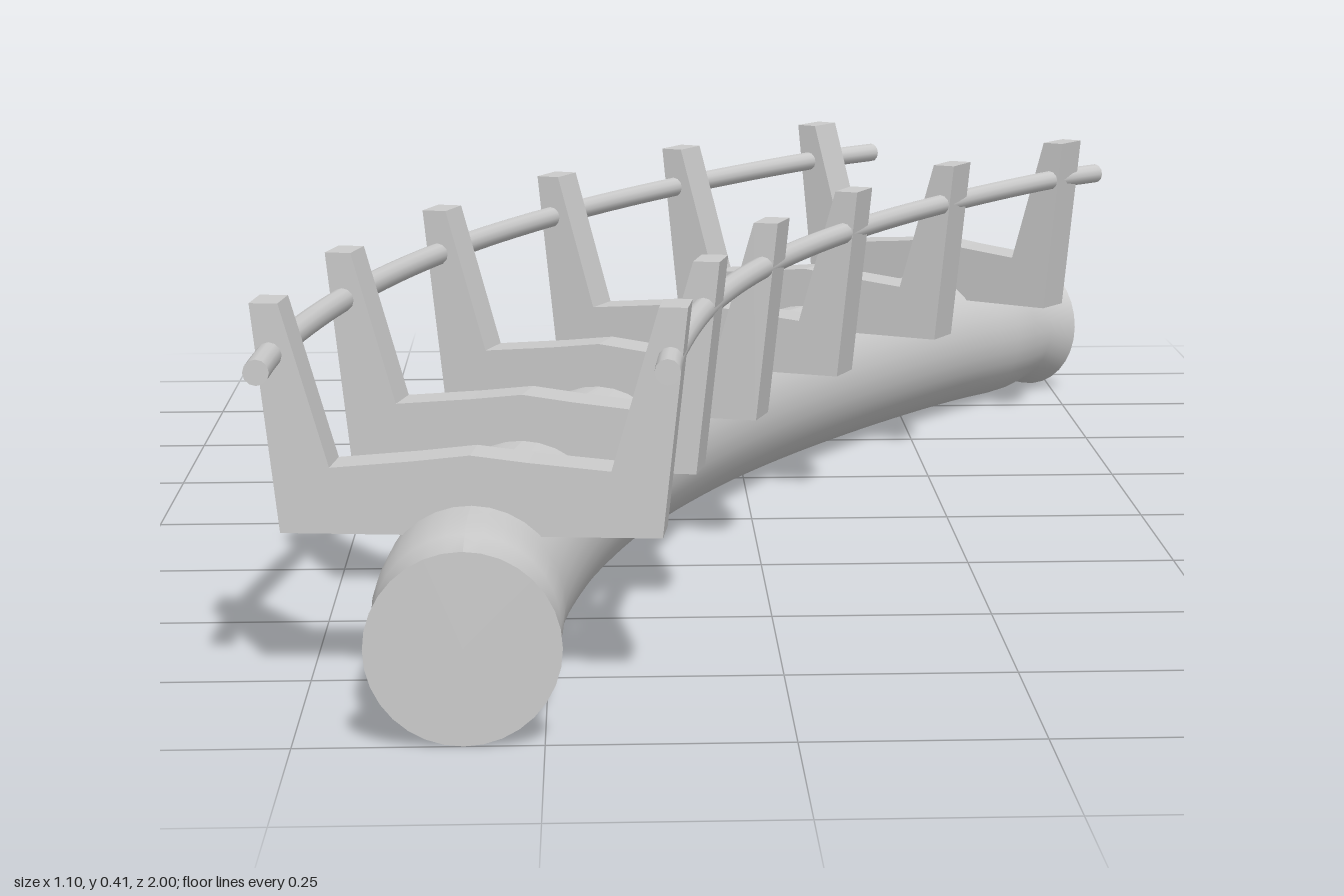
import * as THREE from 'three';

const R = 0.0985; // pipe radius
// cradle stations along the bend: x, z, heading
const stations = [
  [-0.325, 0.765, 0.11], [-0.275, 0.43, 0.21], [-0.185, 0.1, 0.315],
  [-0.055, -0.21, 0.43], [0.11, -0.5, 0.525], [0.31, -0.778, 0.64],
];

export function createModel() {
  const group = new THREE.Group();
  const mat = new THREE.MeshStandardMaterial({ color: 0xcccccc });
  const add = (geo, name) => {
    const mesh = new THREE.Mesh(geo, mat);
    mesh.name = name;
    group.add(mesh);
    return mesh;
  };
  const curveThrough = (pts, y) =>
    new THREE.CatmullRomCurve3(pts.map(([x, z]) => new THREE.Vector3(x, y, z)));

  // Curved main pipe, necked in just behind each flared end
  const path = curveThrough(
    [[-0.33, 1], [-0.33, 0.93], ...stations, [0.413, -0.882], [0.463, -0.932]], R);
  const rings = 48, sides = 32;
  const pipe = new THREE.TubeGeometry(path, rings, R, sides);
  const pos = pipe.attributes.position, v = new THREE.Vector3();
  const neck = [1, 0.88, 0.97];
  for (let i = 0; i <= rings; i++) {
    const s = neck[Math.min(i, rings - i)] ?? 1;
    const c = path.getPointAt(i / rings);
    for (let j = 0; j <= sides; j++) {
      const k = i * (sides + 1) + j;
      v.fromBufferAttribute(pos, k).sub(c).multiplyScalar(s).add(c);
      pos.setXYZ(k, v.x, v.y, v.z);
    }
  }
  pipe.computeVertexNormals();
  add(pipe, 'mainPipe');

  // Flat end caps
  for (const [t, dir, name] of [[0, -1, 'frontCap'], [1, 1, 'backCap']]) {
    const cap = add(new THREE.CircleGeometry(R, sides), name);
    cap.position.copy(path.getPointAt(t));
    cap.lookAt(cap.position.clone().addScaledVector(path.getTangentAt(t), dir));
  }

  // U-shaped cradles with splayed posts
  const half = [[0.2, 0.165], [0.227, 0.407], [0.197, 0.407], [0.147, 0.235]];
  const outline = [
    ...half, [0.06, 0.243], [0, 0.25], [-0.06, 0.243],
    ...half.map(([x, y]) => [-x, y]).reverse(),
  ].map(([x, y]) => new THREE.Vector2(x, y));
  const cradleGeo = new THREE.ExtrudeGeometry(new THREE.Shape(outline),
    { depth: 0.056, bevelEnabled: false });
  cradleGeo.translate(0, 0, -0.028);
  stations.forEach(([x, z, a], i) => {
    const cradle = add(cradleGeo, `cradle${i + 1}`);
    cradle.position.set(x, 0, z);
    cradle.rotation.y = -a;
  });

  // Thin hand rails running through the posts
  const rails = [
    [-1, 'rightRail', [-0.538, 0.872], [0.23, -0.99]],
    [1, 'leftRail', [-0.125, 0.887], [0.537, -0.712]],
  ];
  for (const [side, name, start, end] of rails) {
    const mids = stations.map(([x, z, a]) =>
      [x + side * 0.208 * Math.cos(a), z + side * 0.208 * Math.sin(a)]);
    const rail = curveThrough([start, ...mids, end], 0.353);
    add(new THREE.TubeGeometry(rail, 40, 0.0135, 12), name);
    for (const [t, dir] of [[0, -1], [1, 1]]) {
      const cap = add(new THREE.CircleGeometry(0.0135, 12), name + 'Cap');
      cap.position.copy(rail.getPointAt(t));
      cap.lookAt(cap.position.clone().addScaledVector(rail.getTangentAt(t), dir));
    }
  }
  return group;
}
